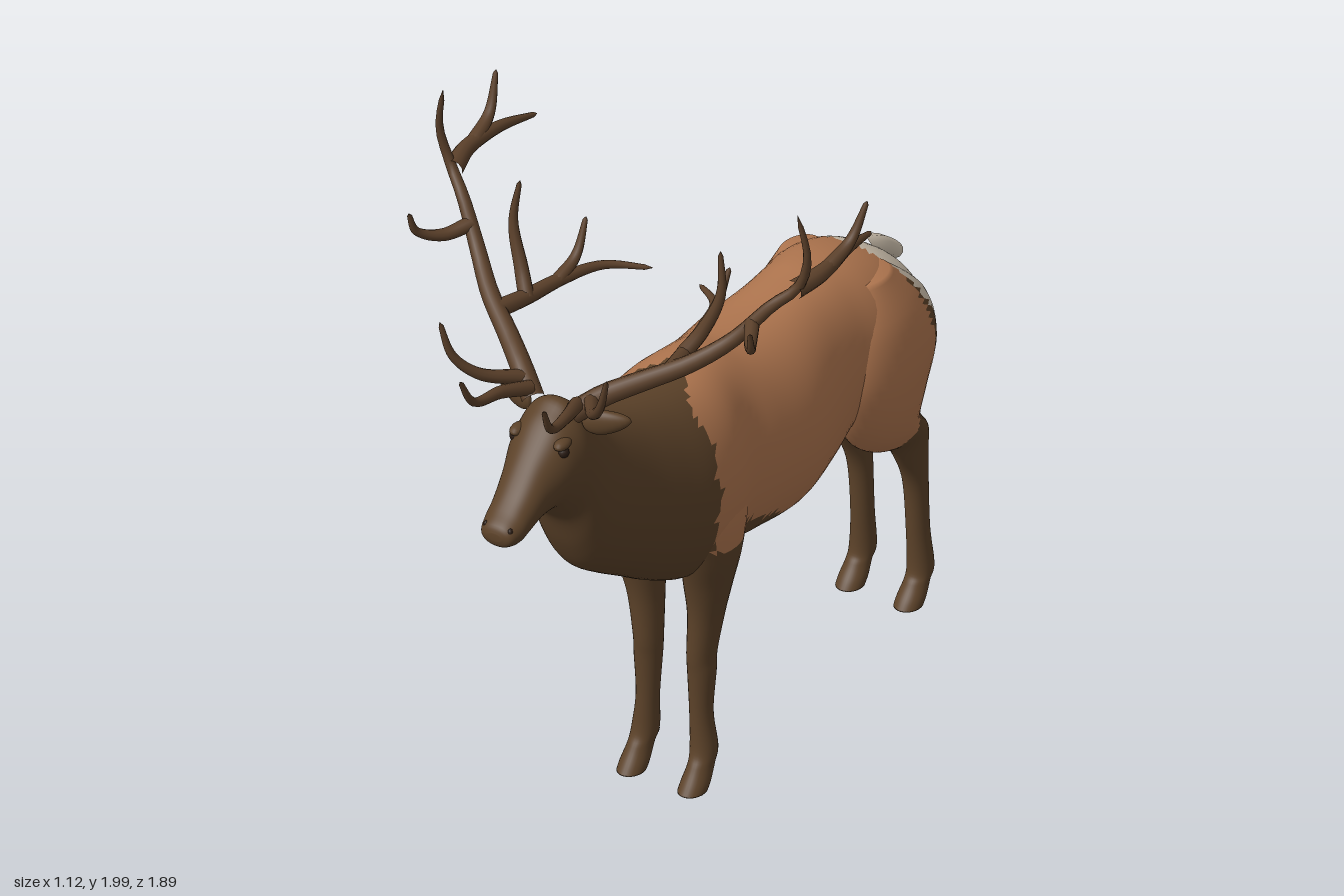
import * as THREE from 'three';

const mat = (name, color) => {
  const m = new THREE.MeshStandardMaterial({ color });
  m.name = name;
  return m;
};

// Smooth interpolation through rows of numbers
function refine(rows, steps) {
  const out = [];
  for (let i = 0; i < rows.length - 1; i++) {
    const a = rows[Math.max(i - 1, 0)], b = rows[i], c = rows[i + 1], d = rows[Math.min(i + 2, rows.length - 1)];
    for (let k = 0; k < steps; k++) {
      const t = k / steps;
      out.push(b.map((_, n) => 0.5 * (2 * b[n] + (c[n] - a[n]) * t
        + (2 * a[n] - 5 * b[n] + 4 * c[n] - d[n]) * t * t
        + (3 * b[n] - a[n] - 3 * c[n] + d[n]) * t * t * t)));
    }
  }
  out.push(rows[rows.length - 1]);
  return out;
}

// Closed skin over cross-sections; paint(x, y, z) picks the material of each face
function loft(rows, steps, sides, point, paint) {
  const rings = refine(rows, steps).map(r =>
    Array.from({ length: sides }, (_, j) => point(r, (j / sides) * Math.PI * 2)));
  const collapse = ring => {
    const c = [0, 1, 2].map(k => ring.reduce((sum, p) => sum + p[k], 0) / sides);
    return ring.map(() => c);
  };
  rings.unshift(collapse(rings[0]));
  rings.push(collapse(rings[rings.length - 1]));
  const pts = rings.flat(), lists = [[], [], []];
  for (let i = 0; i < rings.length - 1; i++) {
    for (let j = 0; j < sides; j++) {
      const a = i * sides + j, b = i * sides + (j + 1) % sides, c = a + sides, d = b + sides;
      for (const tri of [[a, b, c], [b, d, c]]) {
        const m = [0, 1, 2].map(k => tri.reduce((sum, v) => sum + pts[v][k], 0) / 3);
        lists[paint(...m)].push(...tri);
      }
    }
  }
  const geo = new THREE.BufferGeometry();
  geo.setAttribute('position', new THREE.Float32BufferAttribute(pts.flat(), 3));
  geo.setIndex(lists.flat());
  let start = 0;
  lists.forEach((l, k) => {
    if (l.length) geo.addGroup(start, l.length, k);
    start += l.length;
  });
  geo.computeVertexNormals();
  return geo;
}

// Tapered tube along a smooth path
function horn(points, r0, r1) {
  const path = new THREE.CatmullRomCurve3(points.map(p => new THREE.Vector3(...p)));
  const n = 24, sides = 10;
  const geo = new THREE.TubeGeometry(path, n, 1, sides, false);
  const pos = geo.attributes.position, v = new THREE.Vector3();
  for (let i = 0; i <= n; i++) {
    const c = path.getPointAt(i / n);
    const r = i === n ? 0.0005 : r0 + (r1 - r0) * Math.pow(i / n, 1.3);
    for (let j = 0; j <= sides; j++) {
      const k = i * (sides + 1) + j;
      v.fromBufferAttribute(pos, k).sub(c).multiplyScalar(r).add(c);
      pos.setXYZ(k, v.x, v.y, v.z);
    }
  }
  return geo;
}

// Coat pattern: 0 dark brown, 1 tan saddle, 2 cream rump
function coat(x, y, z) {
  const ax = Math.abs(x), drop = 1.12 - y;
  if (y > 0.84 && z < -0.7 - drop * 0.55) return 2;
  if (ax < 0.12 && y > 0.72 && z < -0.76) return 2;
  const front = y > 1.1 ? 0.2 - 0.1 * Math.max(0, 1 - ax / 0.1) : 0.2;
  const back = Math.max(-0.775, -0.71 - Math.max(drop, 0) * 0.3);
  let low = 0.745;
  if (z < 0) low = 0.745 + Math.max(z, -0.25) * 0.46;
  if (z < -0.5) low = ax > 0.1 ? 0.57 : 0.7;
  return z < front + 0.008 * Math.sin(y * 45) && z > back && y > low + 0.008 * Math.sin(z * 40) ? 1 : 0;
}

// Nose to rump: z, top, bottom, half width
const BODY = [
  [0.945, 1.165, 1.145, 0.02], [0.935, 1.185, 1.125, 0.045], [0.9, 1.21, 1.115, 0.058],
  [0.86, 1.245, 1.12, 0.062], [0.8, 1.31, 1.135, 0.072], [0.74, 1.37, 1.135, 0.092],
  [0.7, 1.4, 1.1, 0.102], [0.66, 1.42, 1.05, 0.108], [0.62, 1.395, 0.95, 0.113],
  [0.57, 1.335, 0.865, 0.12], [0.5, 1.285, 0.81, 0.127], [0.4, 1.248, 0.745, 0.145],
  [0.3, 1.228, 0.68, 0.172], [0.2, 1.22, 0.63, 0.198], [0.1, 1.222, 0.61, 0.2],
  [0, 1.215, 0.612, 0.18], [-0.1, 1.19, 0.605, 0.197], [-0.25, 1.178, 0.59, 0.215],
  [-0.4, 1.182, 0.61, 0.192], [-0.5, 1.185, 0.66, 0.185], [-0.6, 1.172, 0.69, 0.2],
  [-0.7, 1.14, 0.72, 0.195], [-0.78, 1.09, 0.76, 0.172], [-0.825, 1.045, 0.82, 0.14],
  [-0.85, 0.99, 0.87, 0.08], [-0.86, 0.95, 0.9, 0.02],
];

// Legs from top to hoof: y, front z, back z, centre x, half width
const FRONT_LEG = [
  [1, 0.22, 0.02, 0.11, 0.05], [0.85, 0.25, 0, 0.12, 0.075], [0.72, 0.215, 0.02, 0.115, 0.075],
  [0.6, 0.175, 0.04, 0.1, 0.062], [0.5, 0.155, 0.045, 0.09, 0.046], [0.38, 0.15, 0.06, 0.08, 0.037],
  [0.32, 0.145, 0.065, 0.08, 0.036], [0.2, 0.14, 0.075, 0.08, 0.03], [0.1, 0.145, 0.068, 0.087, 0.035],
  [0.06, 0.165, 0.08, 0.09, 0.032], [0.02, 0.195, 0.105, 0.091, 0.036], [0, 0.21, 0.12, 0.091, 0.036],
];
const HIND_LEG = [
  [1.12, -0.56, -0.7, 0.1, 0.05], [1, -0.48, -0.82, 0.12, 0.09], [0.87, -0.45, -0.855, 0.13, 0.1],
  [0.75, -0.485, -0.815, 0.125, 0.095], [0.65, -0.55, -0.805, 0.112, 0.082], [0.58, -0.63, -0.855, 0.1, 0.06],
  [0.52, -0.745, -0.905, 0.09, 0.045], [0.45, -0.8, -0.915, 0.085, 0.037], [0.35, -0.845, -0.917, 0.083, 0.032],
  [0.2, -0.86, -0.925, 0.083, 0.03], [0.09, -0.862, -0.937, 0.086, 0.034], [0.055, -0.845, -0.92, 0.087, 0.032],
  [0.02, -0.815, -0.9, 0.087, 0.036], [0, -0.8, -0.885, 0.087, 0.036],
];

// Antler branches on the left side: path points, then base radius
const ANTLER = {
  beam: [[[0.06, 1.4, 0.67], [0.12, 1.45, 0.63], [0.2, 1.49, 0.57], [0.3, 1.54, 0.5], [0.38, 1.6, 0.43], [0.46, 1.7, 0.375], [0.52, 1.76, 0.34], [0.55, 1.86, 0.345], [0.53, 1.99, 0.36]], 0.03],
  browTine: [[[0.07, 1.43, 0.67], [0.1, 1.455, 0.76], [0.115, 1.475, 0.86], [0.125, 1.56, 0.91]], 0.02],
  bezTine: [[[0.1, 1.44, 0.65], [0.17, 1.48, 0.75], [0.22, 1.54, 0.795], [0.25, 1.64, 0.81]], 0.02],
  upperTine: [[[0.42, 1.65, 0.4], [0.46, 1.64, 0.47], [0.5, 1.67, 0.53], [0.51, 1.73, 0.55]], 0.02],
  rearBranch: [[[0.51, 1.75, 0.345], [0.53, 1.755, 0.25], [0.52, 1.75, 0.12], [0.5, 1.715, -0.03]], 0.026],
  rearTine: [[[0.53, 1.755, 0.22], [0.54, 1.79, 0.13], [0.555, 1.885, 0.075]], 0.02],
  innerBranch: [[[0.26, 1.52, 0.53], [0.235, 1.51, 0.42], [0.21, 1.505, 0.3], [0.165, 1.495, 0.18], [0.07, 1.475, 0.1]], 0.024],
  innerTine: [[[0.215, 1.505, 0.32], [0.21, 1.54, 0.24], [0.215, 1.625, 0.185]], 0.018],
  tallTine: [[[0.235, 1.51, 0.43], [0.27, 1.57, 0.4], [0.31, 1.68, 0.375], [0.3, 1.8, 0.36]], 0.021],
};

export function createModel() {
  const group = new THREE.Group();
  const brown = mat('dark brown coat', 0x5c4229), tan = mat('tan coat', 0xb0764f);
  const cream = mat('cream rump', 0xd0c3b0), bone = mat('antler brown', 0x5b402a), black = mat('eye black', 0x2a1c14);
  const coats = [brown, tan, cream];
  const add = (name, geo, material) => {
    const mesh = new THREE.Mesh(geo, material);
    mesh.name = name;
    group.add(mesh);
    return mesh;
  };

  // Head, neck and trunk in one skin
  add('body', loft(BODY, 5, 56, ([z, top, bottom, w], a) => {
    const s = Math.sin(a);
    return [w * Math.sign(s) * Math.pow(Math.abs(s), 0.9), (top + bottom) / 2 + (top - bottom) / 2 * Math.cos(a), z];
  }, coat), coats);

  // Tail
  add('tail', horn([[0, 1.09, -0.75], [0, 1.055, -0.83], [0, 1.015, -0.89], [0, 0.985, -0.925]], 0.035, 0.02), cream);

  for (const s of [1, -1]) {
    const side = s > 0 ? 'left' : 'right';

    // Legs with hooves
    const leg = ([y, zf, zb, x, w], a) =>
      [s * x - w * Math.sin(a), y, (zf + zb) / 2 + (zf - zb) / 2 * Math.cos(a)];
    add(side + 'FrontLeg', loft(FRONT_LEG, 6, 28, leg, coat), coats);
    add(side + 'HindLeg', loft(HIND_LEG, 6, 36, leg, coat), coats);
    for (const [name, z] of [['FrontDewclaw', 0.075], ['HindDewclaw', -0.93]]) {
      const claw = add(side + name, new THREE.SphereGeometry(0.013, 10, 8), brown);
      claw.scale.set(1.6, 1.3, 1);
      claw.position.set(s * 0.087, 0.075, z);
    }

    // Antler
    for (const [name, [points, radius]] of Object.entries(ANTLER)) {
      add(side + 'Antler ' + name, horn(points.map(([x, y, z]) => [s * x, y, z]), radius, 0.006), bone);
    }

    // Leaf-shaped ear
    const earGeo = new THREE.SphereGeometry(1, 20, 14);
    const pos = earGeo.attributes.position;
    for (let i = 0; i < pos.count; i++) pos.setY(i, pos.getY(i) * (1 - 0.3 * s * pos.getX(i)));
    earGeo.scale(0.065, 0.033, 0.02);
    earGeo.computeVertexNormals();
    const ear = add(side + 'Ear', earGeo, brown);
    ear.position.set(s * 0.137, 1.38, 0.635);
    ear.rotation.set(0, s * 0.35, s * 0.2);

    // Eye with brow, nostril
    const eye = add(side + 'Eye', new THREE.SphereGeometry(0.016, 14, 10), black);
    eye.position.set(s * 0.071, 1.322, 0.735);
    const brow = add(side + 'Brow', new THREE.SphereGeometry(0.024, 14, 10), brown);
    brow.scale.set(0.8, 0.6, 1.3);
    brow.position.set(s * 0.066, 1.342, 0.73);
    const nostril = add(side + 'Nostril', new THREE.SphereGeometry(0.011, 10, 8), black);
    nostril.scale.set(0.7, 1, 0.8);
    nostril.position.set(s * 0.036, 1.173, 0.926);
  }
  return group;
}
